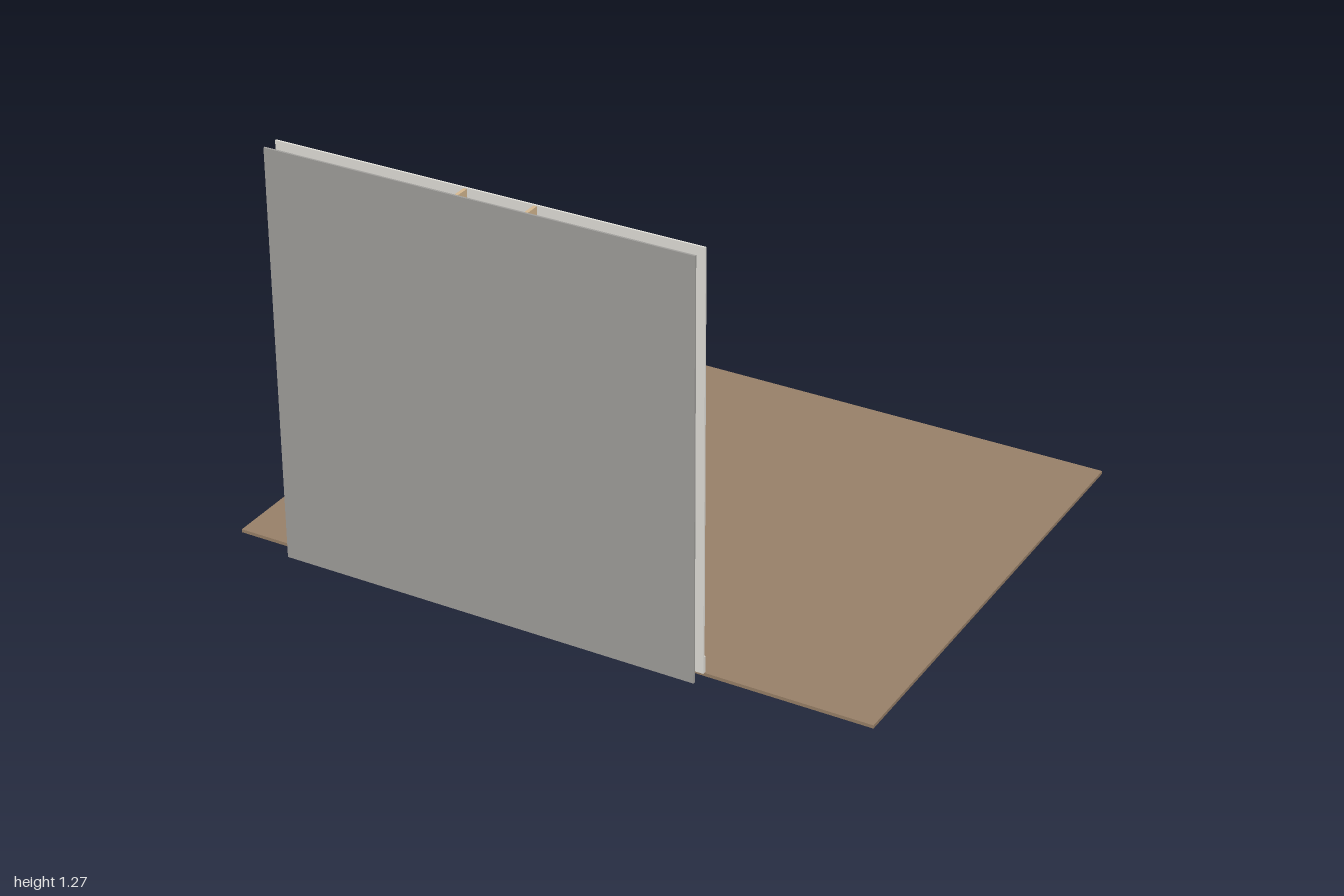
import * as THREE from 'three';

export function createModel() {
  const model = new THREE.Group();
  const mat = (name, color) => {
    const m = new THREE.MeshStandardMaterial({ color });
    m.name = name;
    return m;
  };
  const grey = mat('grey plaster', 0xa2a09d);
  const pale = mat('pale plaster', 0xe4e2db);
  const floorWood = mat('floor wood', 0x998169);
  const studWood = mat('stud wood', 0xd7ba92);
  const black = mat('black', 0x1c1c1c);
  const metal = mat('metal', 0x77777a);
  const white = mat('white', 0xe8e8e8);

  const add = (name, geometry, material) => {
    const mesh = new THREE.Mesh(geometry, material);
    mesh.name = name;
    model.add(mesh);
    return mesh;
  };
  // Box given by its low and high corners
  const block = (name, material, x0, x1, y0, y1, z0, z1) =>
    add(name, new THREE.BoxGeometry(x1 - x0, y1 - y0, z1 - z0), material)
      .position.set((x0 + x1) / 2, (y0 + y1) / 2, (z0 + z1) / 2);
  // Thin rod between two points
  const rod = (name, a, b, r) => {
    const p = new THREE.Vector3(...a), q = new THREE.Vector3(...b);
    const mesh = add(name, new THREE.CylinderGeometry(r, r, p.distanceTo(q), 6), black);
    mesh.position.copy(p).lerp(q, 0.5);
    mesh.quaternion.setFromUnitVectors(new THREE.Vector3(0, 1, 0), q.sub(p).normalize());
  };
  // Disc whose axis runs along z
  const disc = (name, material, r, z0, z1) => {
    const g = new THREE.CylinderGeometry(r, r, z1 - z0, 32).rotateX(Math.PI / 2);
    add(name, g, material).position.set(-0.1, 0.775, (z0 + z1) / 2);
  };

  // Floor and front wall panel
  block('floor', floorWood, -1, 1, 0, 0.01, -0.78, 0.72);
  block('frontPanel', grey, -0.8, 0.5, 0.01, 1.273, 0.773, 0.779);

  // Rear wall panel with an upright access slot
  const rect = (P, x0, y0, x1, y1) => {
    const p = new P();
    p.moveTo(x0, y0).lineTo(x1, y0).lineTo(x1, y1).lineTo(x0, y1).closePath();
    return p;
  };
  const panel = rect(THREE.Shape, -0.8, 0.01, 0.5, 1.273);
  panel.holes.push(rect(THREE.Path, -0.2, 0.21, 0, 0.74));
  add('backPanel', new THREE.ExtrudeGeometry(panel, { depth: 0.006, bevelEnabled: false }), pale)
    .position.z = 0.72;

  // Baseboards either side of the slot
  block('baseboard', pale, 0, 0.5, 0.01, 0.06, 0.714, 0.72);
  block('baseboard', pale, -0.8, -0.2, 0.01, 0.06, 0.714, 0.72);

  // Studs and sole plate inside the wall
  for (const x of [-0.21, 0]) block('stud', studWood, x, x + 0.01, 0.01, 1.271, 0.726, 0.773);
  block('solePlate', studWood, -0.2, 0, 0.01, 0.03, 0.728, 0.771);

  // Round wall fitting
  disc('fittingHub', metal, 0.035, 0.707, 0.722);
  disc('fittingDisc', black, 0.07, 0.7, 0.707);
  disc('fittingCentre', white, 0.008, 0.698, 0.7);

  // Dashed cable down the cavity
  for (let i = 0; i < 6; i++) {
    const y = 0.2 + i * 0.09;
    rod('cableDash', [-0.1, y, 0.75], [-0.1, y + 0.06, 0.75], 0.001);
  }

  // Coiled cable end below the slot
  const coil = [[-0.1, 0.19, 0.72], [-0.085, 0.17, 0.715], [-0.1, 0.135, 0.71],
    [-0.135, 0.14, 0.708], [-0.14, 0.17, 0.71], [-0.115, 0.18, 0.712], [-0.11, 0.155, 0.715]]
    .map(p => new THREE.Vector3(...p));
  add('cableCoil', new THREE.TubeGeometry(new THREE.CatmullRomCurve3(coil), 40, 0.0018, 6), black);

  // Fine pointer wires: start x, y, z and end height
  for (const [x, y, z, end] of [
    [-0.1, 0.815, 0.705, 0.857], [-0.05, 0.785, 0.7, 0.805], [-0.1, 0.775, 0.705, 0.767],
    [-0.1, 0.76, 0.72, 0.72], [-0.09, 0.72, 0.705, 0.67], [-0.1, 0.478, 0.75, 0.483],
    [-0.1, 0.185, 0.71, 0.215], [-0.12, 0.18, 0.71, 0.155],
  ]) rod('pointerWire', [x, y, z], [-0.28, end, 0.675], 0.0008);

  return model;
}
